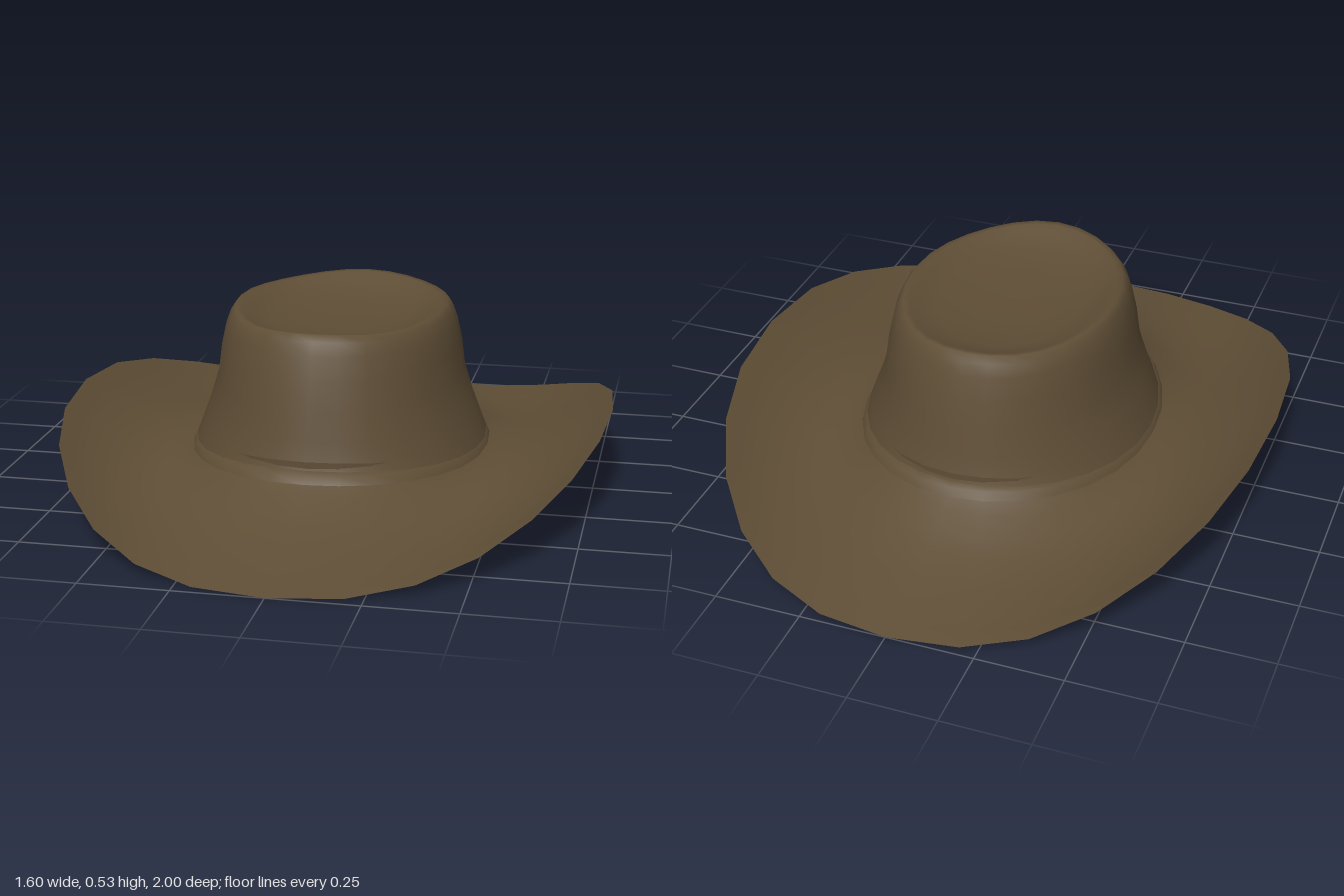
import * as THREE from 'three';

const SEG = 28;
const TAU = Math.PI * 2;
const mix = (a, b, t) => a + (b - a) * t;

// Skin closed rings of points; rings running from the centre outwards face up.
function loft(name, rings, material) {
  const pos = [], idx = [];
  for (const ring of rings) for (const p of ring) pos.push(...p);
  for (let r = 0; r < rings.length - 1; r++) {
    for (let i = 0; i < SEG; i++) {
      const j = (i + 1) % SEG;
      const a = r * SEG + i, b = r * SEG + j, c = a + SEG, d = b + SEG;
      idx.push(a, c, d, a, d, b);
    }
  }
  const g = new THREE.BufferGeometry();
  g.setAttribute('position', new THREE.Float32BufferAttribute(pos, 3));
  g.setIndex(idx);
  g.computeVertexNormals();
  const mesh = new THREE.Mesh(g, material);
  mesh.name = name;
  return mesh;
}

const ringOf = (fn) => Array.from({ length: SEG }, (_, i) => fn((i / SEG) * TAU));

// Piecewise linear lookup in [t, value] pairs
function sample(table, t) {
  for (let i = 1; i < table.length; i++) {
    const [t0, v0] = table[i - 1], [t1, v1] = table[i];
    if (t <= t1) return mix(v0, v1, (t - t0) / (t1 - t0));
  }
  return table[table.length - 1][1];
}

// Brim height from the crown (t = 0) to the rim (t = 1), at the sides and at the ends
const SIDE = [[0, 0.145], [0.15, 0.13], [0.4, 0.138], [0.6, 0.165], [0.8, 0.205], [1, 0.262]];
const END = [[0, 0.186], [0.15, 0.142], [0.4, 0.088], [0.6, 0.06], [0.8, 0.038], [1, 0.018]];

function brimPoint(angle, t, under) {
  const c = Math.cos(angle), s = Math.sin(angle);
  const round = (v) => Math.sign(v) * Math.abs(v) ** 0.92;
  const x = mix(0.405 * c, 0.8 * round(c), t);
  const z = -mix(0.505 * s, 1.0 * round(s), t);
  const w = Math.abs(c) ** mix(2, 2.6, t);
  const bulge = Math.sin(Math.PI * Math.min(1, t * 0.85 + 0.15));
  let y = mix(sample(END, t), sample(SIDE, t), w);
  // the brim sags between its ends and sides
  y -= 0.036 * Math.sin(2 * angle) ** 2 * Math.sin(Math.PI * t);
  if (under) y -= 0.038 * bulge;
  return [x, Math.max(y, under ? 0.003 * (1 - Math.abs(s)) : 0.014), z];
}

export function createModel() {
  const group = new THREE.Group();
  group.name = 'hat';
  const felt = new THREE.MeshStandardMaterial({ color: 0x5f4e36, side: THREE.DoubleSide });
  felt.name = 'brownFelt';

  // Brim: curled upper and lower skins meeting at a sharp rim
  const steps = [0, 0.08, 0.15, 0.27, 0.4, 0.6, 0.8, 0.9, 1];
  const skin = (under) => steps.map((t) => ringOf((a) => brimPoint(a, t, under && t < 1)));
  group.add(loft('brimTop', skin(false), felt));
  group.add(loft('brimUnderside', skin(true).reverse(), felt));

  // Crown: dented top, rounded shoulder and flaring wall [halfWidth, halfLength, y]
  const crown = [
    [0.001, 0.001, 0.5], [0.12, 0.17, 0.502], [0.21, 0.29, 0.512], [0.265, 0.355, 0.532],
    [0.29, 0.385, 0.546], [0.307, 0.402, 0.548], [0.322, 0.418, 0.53], [0.336, 0.432, 0.495],
    [0.35, 0.452, 0.43], [0.36, 0.47, 0.35], [0.385, 0.487, 0.27], [0.408, 0.5, 0.21],
  ];
  const crownRings = crown.map(([a, b, y]) =>
    ringOf((t) => [a * Math.cos(t), y + (y > 0.52 ? 0.004 * Math.cos(4 * t) : 0), -b * Math.sin(t)]));
  // Lower edge dips at the sides to follow the brim
  crownRings.push(ringOf((t) => [
    0.43 * Math.cos(t), mix(0.18, 0.15, Math.cos(t) ** 2), -0.512 * Math.sin(t)]));
  group.add(loft('crown', crownRings, felt));

  // Raised seam where the crown meets the brim
  const seam = [[0.412, 0.506, 0.012], [0.428, 0.53, 0.006], [0.438, 0.545, -0.016]];
  group.add(loft('crownSeam', seam.map(([a, b, dy]) => ringOf((t) => [
    a * Math.cos(t), mix(0.18, 0.15, Math.cos(t) ** 2) + dy, -b * Math.sin(t)])), felt));

  // Inner lip closing the head opening
  const lip = [0, 1].map((k) => ringOf((t) => {
    const p = brimPoint(t, 0, k === 0);
    return k ? [p[0], p[1] + 0.03, p[2]] : p;
  }));
  group.add(loft('innerLip', lip, felt));

  return group;
}
